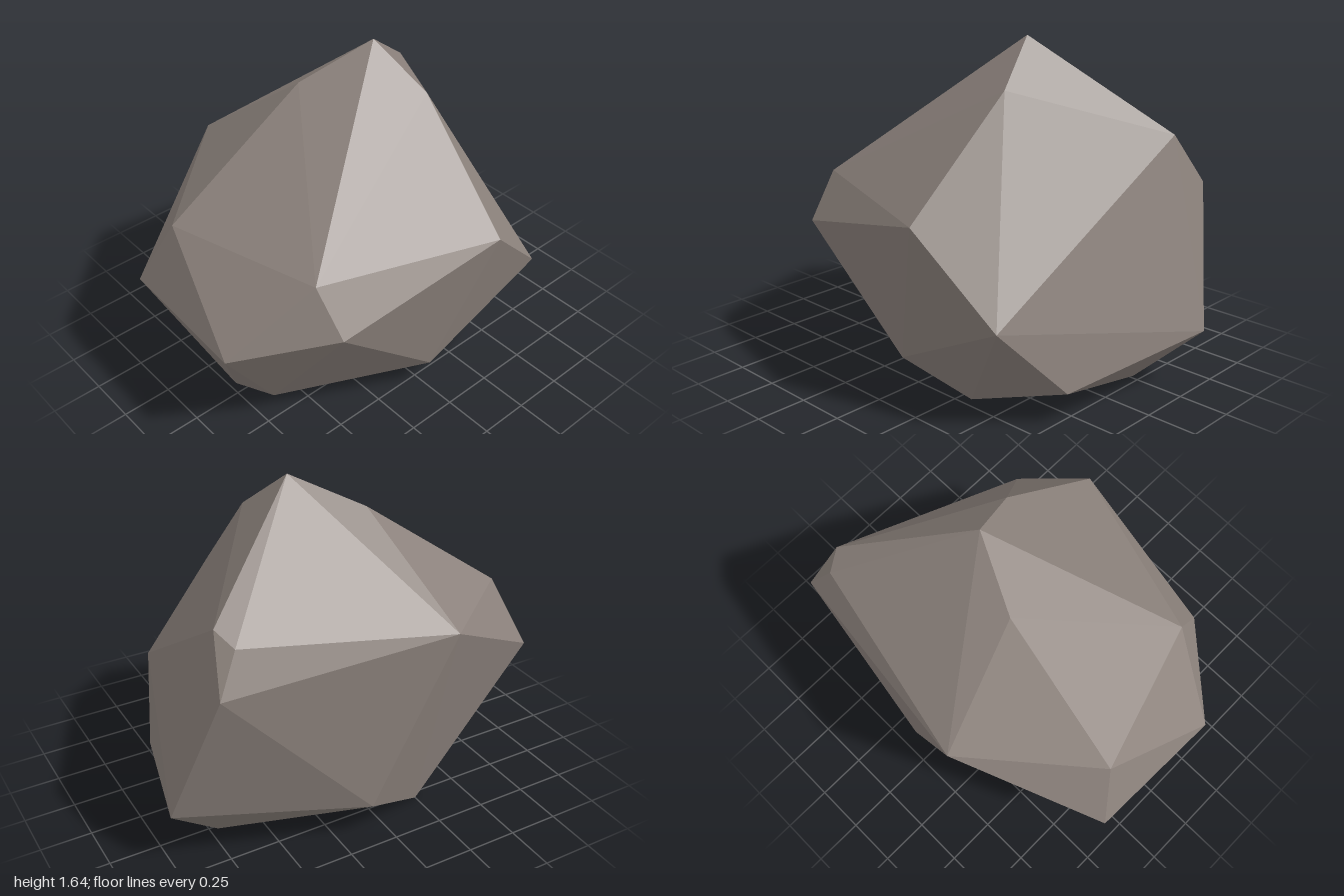
import * as THREE from 'three';
import { ConvexGeometry } from 'three/addons/geometries/ConvexGeometry.js';

// Corners of the faceted boulder, grouped by height band
const corners = [
  // peak and ridge
  [0.19, 1.64, -0.05], [0.29, 1.43, 0.21], [-0.14, 1.47, -0.20],
  // upper shoulders
  [0.76, 1.19, -0.45], [0.71, 1.13, -0.55], [0.82, 0.94, -0.62],
  [-0.29, 1.03, -0.76], [-0.85, 0.96, -0.27], [-0.62, 0.94, 0.48], [0.25, 0.91, 0.76],
  // waist
  [-0.60, 0.72, 0.64], [-1.00, 0.60, 0.30], [-0.98, 0.62, -0.41], [0.66, 0.50, 0.65],
  // lower belt
  [1.00, 0.28, -0.42], [0.80, 0.16, 0.34], [0.00, 0.165, 0.60],
  [-0.68, 0.10, 0.21], [-0.77, 0.10, 0.02], [0.10, 0.18, -0.69],
  // ground contact
  [0.31, 0, 0.45], [0.71, 0, -0.27], [-0.25, 0, -0.54],
];

export function createModel() {
  const group = new THREE.Group();
  group.name = 'rock';

  const stone = new THREE.MeshStandardMaterial({ color: 0x8c827c });
  stone.name = 'warm grey stone';

  // The hull gives one flat normal per facet
  const geometry = new ConvexGeometry(corners.map((c) => new THREE.Vector3(...c)));
  const boulder = new THREE.Mesh(geometry, stone);
  boulder.name = 'boulder';
  group.add(boulder);

  return group;
}
